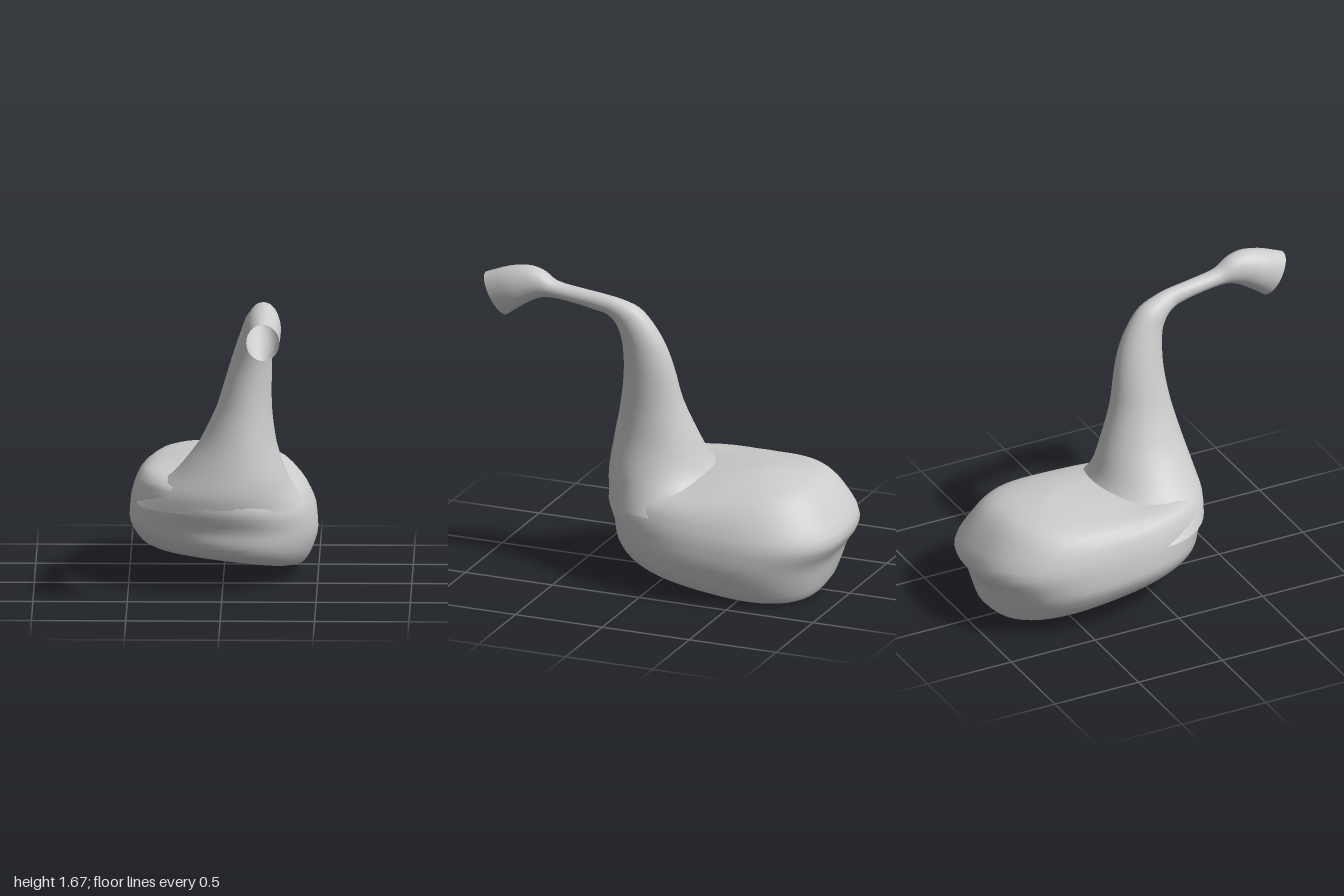
import * as THREE from 'three';

const material = new THREE.MeshStandardMaterial({ color: 0xcccccc, side: THREE.DoubleSide });

// Smooth skin over rings. Each ring: [centre x, half width, back z, back y, front z, front y, side tilt, power]
// The power squares the outline (2 = ellipse).
function loft(name, rings, steps, sides = 48) {
  const curve = (f) => new THREE.CatmullRomCurve3(rings.map((r) => new THREE.Vector3(...f(r))));
  const back = curve((r) => [0, r[3], r[2]]);
  const front = curve((r) => [0, r[5], r[4]]);
  const width = curve((r) => [r[0], r[1], r[6] ?? 0]);
  const power = rings[0][7] ?? 2;
  const rows = (rings.length - 1) * steps;
  const pos = [], index = [];
  for (let i = 0; i <= rows; i++) {
    const t = i / rows;
    const A = back.getPoint(t), B = front.getPoint(t), w = width.getPoint(t);
    for (let j = 0; j < sides; j++) {
      const a = (j / sides) * Math.PI * 2;
      const c = Math.cos(a), s = Math.sin(a);
      const n = c < 0 ? 2 + (power - 2) * 0.4 : power;
      const u = Math.sign(c) * Math.abs(c) ** (2 / n);
      const v = Math.sign(s) * Math.abs(s) ** (2 / n);
      const k = (1 + u) / 2;
      const dx = w.y * v;
      pos.push(w.x + dx, B.y + (A.y - B.y) * k + w.z * dx, B.z + (A.z - B.z) * k);
      if (i < rows) {
        const p = i * sides + j, q = i * sides + ((j + 1) % sides);
        index.push(p, p + sides, q, q, p + sides, q + sides);
      }
    }
  }
  const geo = new THREE.BufferGeometry();
  geo.setAttribute('position', new THREE.Float32BufferAttribute(pos, 3));
  geo.setIndex(index);
  geo.computeVertexNormals();
  const mesh = new THREE.Mesh(geo, material);
  mesh.name = name;
  return mesh;
}

export function createModel() {
  const group = new THREE.Group();
  group.name = 'hornedPod';
  const P = 2.6;
  const rim = [0, 0.36, -0.8, 0.038, 0.2, 0.178, -0.13, P];

  // Flat, tilted underside
  group.add(loft('underside', [[0, 0.002, -0.302, 0.108, -0.298, 0.108, -0.13, P], rim], 1));

  // Squat body with a waist at the back and a domed top
  group.add(loft('body', [
    rim,
    [0, 0.42, -0.86, 0.05, 0.26, 0.21, -0.13],
    [0, 0.47, -0.895, 0.13, 0.295, 0.27, -0.1],
    [0, 0.5, -0.93, 0.24, 0.305, 0.35, -0.06],
    [0, 0.49, -1.0, 0.36, 0.345, 0.46, -0.07],
    [0, 0.445, -0.935, 0.49, 0.31, 0.56, -0.09],
    [0, 0.35, -0.83, 0.605, 0.02, 0.585, -0.07],
    [0, 0.2, -0.7, 0.645, -0.25, 0.632, -0.03],
    [0, 0.002, -0.502, 0.662, -0.498, 0.662, 0],
  ], 3));

  // Neck rising from the front of the body, bending forward into an open horn
  group.add(loft('neckAndHorn', [
    [-0.01, 0.45, -0.45, 0.44, 0.34, 0.45],
    [0.005, 0.375, -0.32, 0.54, 0.35, 0.54],
    [0.04, 0.3, -0.22, 0.62, 0.335, 0.64],
    [0.08, 0.205, -0.15, 0.8, 0.3, 0.8],
    [0.115, 0.145, -0.08, 1.0, 0.255, 1.0],
    [0.145, 0.115, -0.04, 1.2, 0.23, 1.2],
    [0.165, 0.095, 0.0, 1.33, 0.235, 1.33],
    [0.18, 0.08, 0.06, 1.44, 0.25, 1.4],
    [0.19, 0.068, 0.13, 1.52, 0.28, 1.45],
    [0.2, 0.055, 0.22, 1.56, 0.32, 1.48],
    [0.21, 0.047, 0.3, 1.58, 0.36, 1.49],
    [0.215, 0.045, 0.45, 1.6, 0.45, 1.51],
    [0.22, 0.05, 0.6, 1.625, 0.6, 1.53],
    [0.222, 0.065, 0.67, 1.67, 0.67, 1.525],
    [0.225, 0.08, 0.75, 1.69, 0.73, 1.5],
    [0.225, 0.095, 0.87, 1.67, 0.8, 1.455],
    [0.225, 0.088, 1.0, 1.62, 0.875, 1.4],
  ], 3));

  return group;
}
